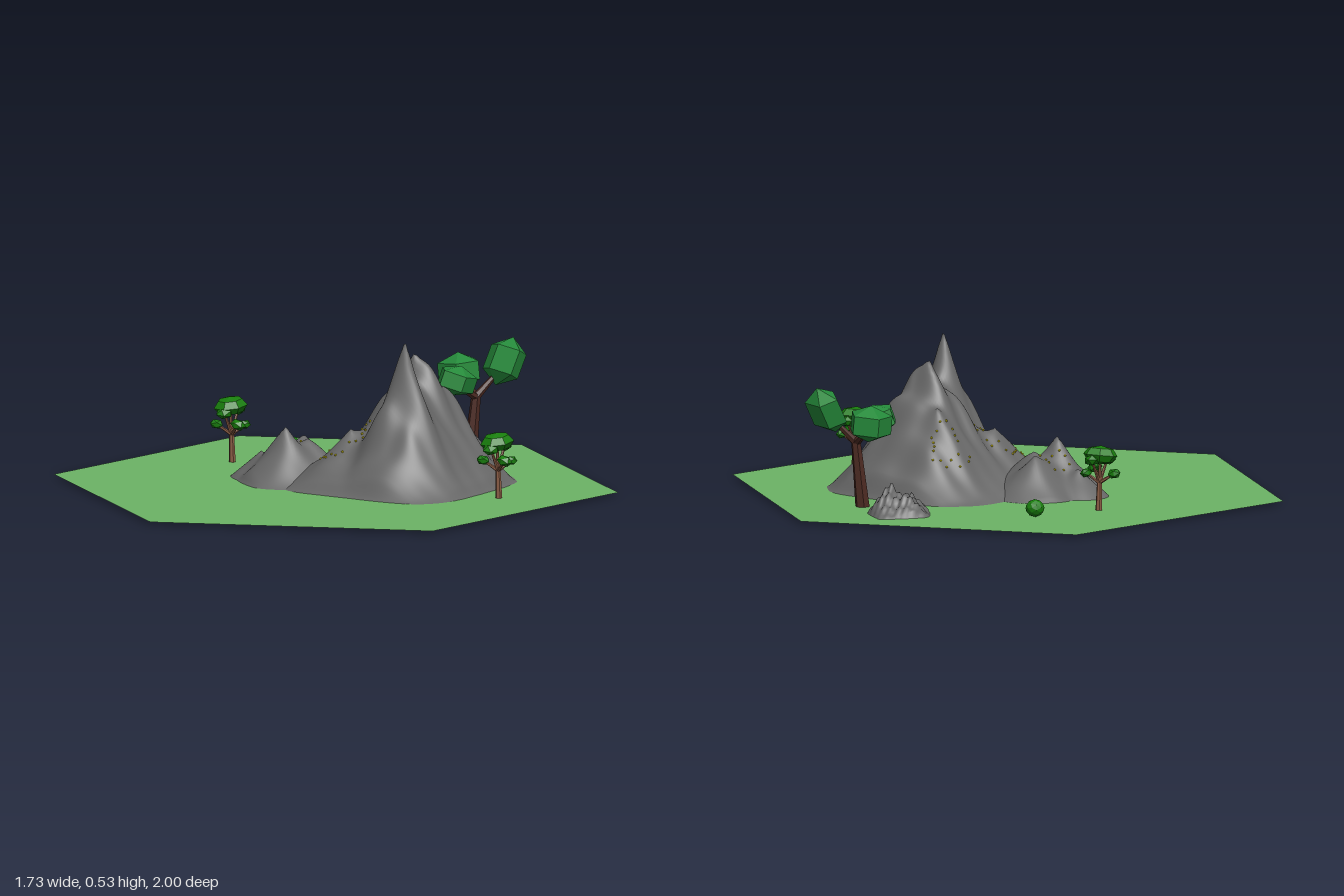
import * as THREE from 'three';

const GROUND_Y = 0.008;
const mat = (color, extra = {}) => new THREE.MeshStandardMaterial({ color, ...extra });
const mats = {
  grass: mat(0x6cb365, { side: THREE.DoubleSide }),
  stone: mat(0x686868, { side: THREE.DoubleSide }),
  darkBark: mat(0x4c2a22, { flatShading: true }),
  lightBark: mat(0x8a5c44, { flatShading: true }),
  broadLeaf: mat(0x258a3a, { flatShading: true }),
  smallLeaf: mat(0x187d0c, { flatShading: true }),
  flower: mat(0xd8c80c),
};

function add(parent, name, geometry, material) {
  const mesh = new THREE.Mesh(geometry, material);
  mesh.name = name;
  parent.add(mesh);
  return mesh;
}

function seeded(seed) {
  return () => (seed = (seed * 16807) % 2147483647) / 2147483647;
}

// Each bump is [x, z, height, radius, sharpness]; bumps merge with a soft maximum.
function bumpHeight(bumps, x, z) {
  let sum = 0;
  for (const [bx, bz, h, r, e] of bumps) {
    const t = Math.min(1, Math.hypot(x - bx, z - bz) / r);
    sum += (h * (1 - t) ** e) ** 5;
  }
  const h = sum ** 0.2;
  const ripple = Math.sin(x * 31 + z * 12) * Math.sin(z * 29 - x * 17) + 0.5 * Math.sin(x * 58 - z * 41);
  return h * (1 + 0.06 * ripple);
}

const mountainBumps = [
  [0.18, 0.21, 0.52, 0.31, 1.75],
  [0.265, 0.06, 0.45, 0.37, 1.4],
  [0.33, 0.07, 0.38, 0.3, 1.2],
  [0.27, -0.08, 0.31, 0.27, 1.3],
  [0.03, 0.07, 0.2, 0.26, 1.2],
  [0.21, 0.07, 0.24, 0.45, 1.4],
];
// A hollow sits on the front slope just below the summit.
const mountainHeight = (x, z) =>
  bumpHeight(mountainBumps, x, z) - 0.045 * Math.exp(-(((x - 0.12) ** 2 + (z - 0.29) ** 2) / 0.0025));

const hillBumps = [
  [-0.15, -0.1, 0.2, 0.19, 1.3],
  [-0.05, -0.19, 0.15, 0.17, 1.1],
  [-0.2, -0.21, 0.1, 0.12, 1],
  [-0.07, -0.11, 0.15, 0.23, 1.2],
];
const hillHeight = (x, z) => bumpHeight(hillBumps, x, z);

const rockBumps = [
  [0.53, -0.43, 0.11, 0.09, 1],
  [0.48, -0.47, 0.09, 0.09, 1],
  [0.45, -0.42, 0.075, 0.08, 0.9],
  [0.55, -0.48, 0.05, 0.07, 0.9],
];
const rockHeight = (x, z) =>
  bumpHeight(rockBumps, x, z) * (1 + 0.18 * Math.sin(x * 130) * Math.sin(z * 150 + x * 60));

// Raised patch of terrain whose flat rim lies just below the grass.
function terrain(parent, name, [cx, cz], [w, d], turn, steps, heightAt) {
  const g = new THREE.PlaneGeometry(w, d, steps, steps);
  g.rotateX(-Math.PI / 2).rotateY(turn).translate(cx, 0, cz);
  const p = g.attributes.position, uv = g.attributes.uv;
  for (let i = 0; i < p.count; i++) {
    const u = uv.getX(i), v = uv.getY(i);
    const edge = Math.min(u, 1 - u, v, 1 - v);
    const fade = THREE.MathUtils.smoothstep(edge, 0.01, 0.08);
    p.setY(i, Math.max(0, heightAt(p.getX(i), p.getZ(i)) * fade));
  }
  g.computeVertexNormals();
  add(parent, name, g, mats.stone);
}

// Tapered branch between two points
function limb(parent, name, a, b, r0, r1, material) {
  const from = new THREE.Vector3(...a), dir = new THREE.Vector3(...b).sub(from);
  const g = new THREE.CylinderGeometry(r1, r0, dir.length(), 6);
  const mesh = add(parent, name, g, material);
  mesh.position.copy(from).addScaledVector(dir, 0.5);
  mesh.quaternion.setFromUnitVectors(new THREE.Vector3(0, 1, 0), dir.normalize());
}

// Faceted clump of leaves
function clump(parent, name, pos, size, rot, geometry, material) {
  const mesh = add(parent, name, geometry, material);
  mesh.position.set(...pos);
  mesh.scale.set(...size);
  mesh.rotation.set(...rot);
}

function bigTree() {
  const tree = new THREE.Group();
  tree.name = 'bigTree';
  const fork = [0.607, 0.235, -0.25];
  limb(tree, 'trunk', [0.583, 0, -0.25], fork, 0.026, 0.017, mats.darkBark);
  const tips = [[0.535, 0.28, -0.215], [0.585, 0.29, -0.32], [0.69, 0.32, -0.25]];
  for (const tip of tips) limb(tree, 'branch', fork, tip, 0.015, 0.008, mats.darkBark);
  const leaf = new THREE.SphereGeometry(1, 5, 3);
  clump(tree, 'foliage', [0.52, 0.305, -0.208], [0.085, 0.055, 0.075], [0.2, 0.4, -0.35], leaf, mats.broadLeaf);
  clump(tree, 'foliage', [0.58, 0.315, -0.345], [0.088, 0.065, 0.088], [-0.2, 1.1, 0.15], leaf, mats.broadLeaf);
  clump(tree, 'foliage', [0.715, 0.355, -0.255], [0.06, 0.09, 0.1], [0, 0.3, -0.45], leaf, mats.broadLeaf);
  return tree;
}

function smallTree(x, z) {
  const tree = new THREE.Group();
  tree.name = 'smallTree';
  tree.position.set(x, 0, z);
  const fork = [0, 0.105, 0];
  limb(tree, 'trunk', [0.003, 0, 0], fork, 0.012, 0.009, mats.lightBark);
  const leaf = new THREE.IcosahedronGeometry(1, 0);
  const crown = new THREE.SphereGeometry(1, 7, 4);
  const puffs = [
    [[0.0, 0.205, -0.012], [0.062, 0.033, 0.05], crown],
    [[-0.03, 0.185, 0.01], [0.035, 0.02, 0.03], leaf],
    [[0.035, 0.19, -0.03], [0.034, 0.02, 0.028], leaf],
    [[0.0, 0.15, 0.066], [0.03, 0.02, 0.024], leaf],
    [[-0.045, 0.14, -0.03], [0.025, 0.018, 0.02], leaf],
    [[0.045, 0.14, 0.012], [0.023, 0.017, 0.018], leaf],
  ];
  puffs.forEach(([pos, size, geometry], i) => {
    limb(tree, 'branch', fork, pos, 0.007, 0.004, mats.lightBark);
    clump(tree, 'foliage', pos, size, [0.1, i * 0.7, 0.12], geometry, mats.smallLeaf);
  });
  return tree;
}

// Loose ring of tiny blossoms lying on a slope
function flowers(parent, cx, cz, rx, rz, count, heightAt, seed) {
  const rand = seeded(seed), g = new THREE.IcosahedronGeometry(0.0045, 0);
  for (let i = 0; i < count; i++) {
    const a = (i / count) * Math.PI * 2, r = 0.55 + 0.5 * rand();
    const x = cx + rx * r * Math.cos(a), z = cz + rz * r * Math.sin(a);
    add(parent, 'flower', g, mats.flower).position.set(x, heightAt(x, z) + 0.002, z);
  }
}

export function createModel() {
  const model = new THREE.Group();
  model.name = 'mountainTile';

  // Hexagonal grass tile with points at the front and back
  const hex = new THREE.CircleGeometry(1, 6, Math.PI / 2);
  hex.rotateX(-Math.PI / 2).translate(0, GROUND_Y, 0);
  add(model, 'grass', hex, mats.grass);

  terrain(model, 'mountain', [0.21, 0.07], [0.75, 0.77], 0.67, 90, mountainHeight);
  terrain(model, 'hill', [-0.055, -0.13], [0.55, 0.48], 0.03, 50, hillHeight);
  terrain(model, 'rock', [0.495, -0.435], [0.23, 0.22], 0.05, 30, rockHeight);

  model.add(bigTree(), smallTree(0.435, 0.462), smallTree(-0.2, -0.522));
  clump(model, 'bush', [0.05, 0.038, -0.597], [0.034, 0.031, 0.033], [0.2, 0.5, 0],
    new THREE.IcosahedronGeometry(1, 1), mats.smallLeaf);

  const meadow = new THREE.Group();
  meadow.name = 'flowers';
  flowers(meadow, 0.02, 0.06, 0.1, 0.07, 22, mountainHeight, 7);
  flowers(meadow, 0.26, -0.16, 0.08, 0.06, 18, mountainHeight, 31);
  flowers(meadow, -0.13, -0.16, 0.06, 0.04, 9, hillHeight, 53);
  model.add(meadow);
  return model;
}
